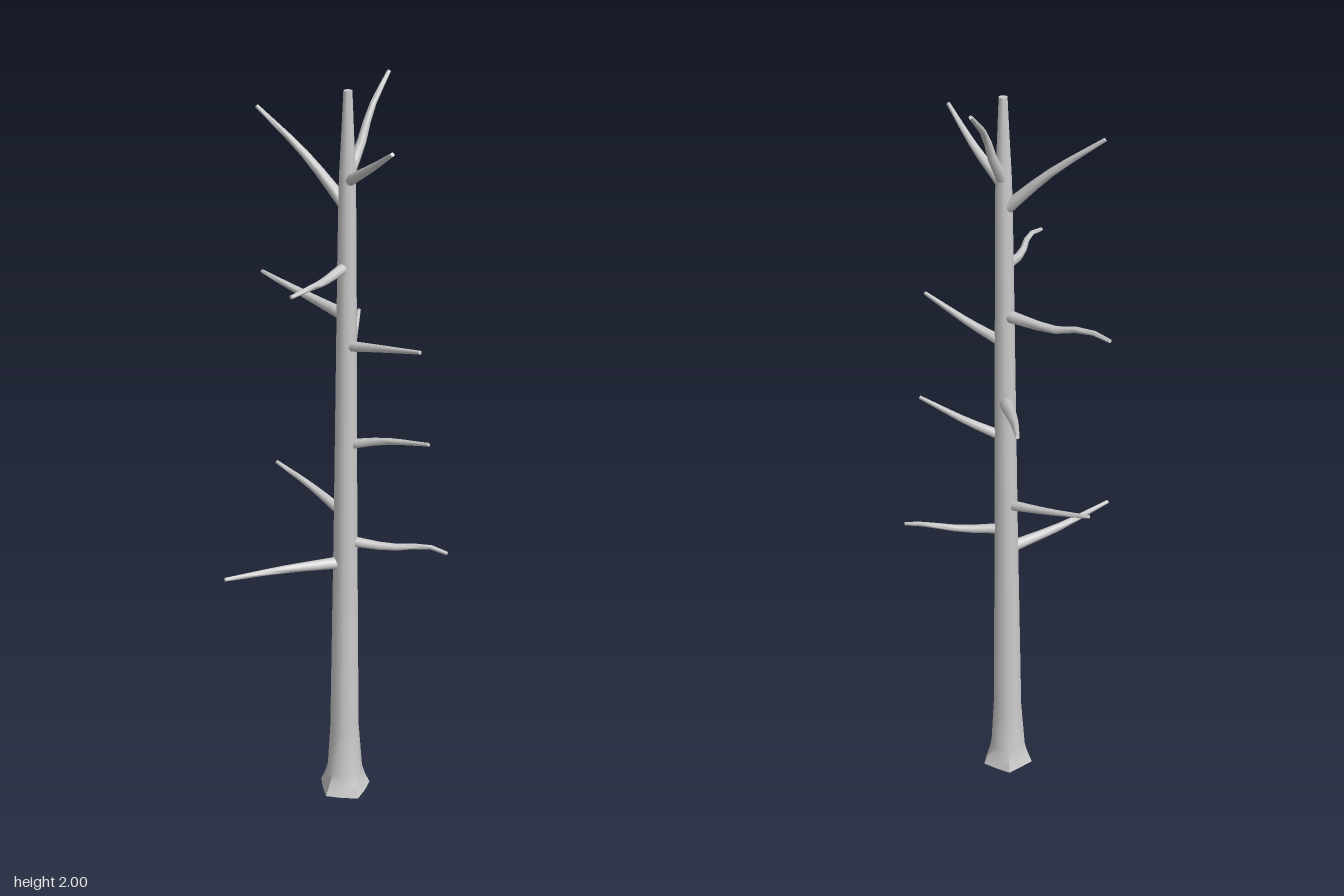
import * as THREE from 'three';
import { toCreasedNormals } from 'three/addons/utils/BufferGeometryUtils.js';

// Skin of rings along a centre line, closed at the far end; radius(i, k) gives ring i at side k
function loft(centres, radius, sides, ref) {
  const pos = [], idx = [], n = centres.length;
  const d = new THREE.Vector3(), u = new THREE.Vector3(), v = new THREE.Vector3();
  centres.forEach((c, i) => {
    d.subVectors(centres[Math.min(i + 1, n - 1)], centres[Math.max(i - 1, 0)]).normalize();
    u.crossVectors(ref, d).normalize();
    v.crossVectors(d, u);
    for (let k = 0; k < sides; k++) {
      const a = (k / sides) * Math.PI * 2, r = radius(i, k), next = (k + 1) % sides;
      c.clone().addScaledVector(u, r * Math.cos(a)).addScaledVector(v, r * Math.sin(a)).toArray(pos, pos.length);
      const a0 = i * sides + k, b0 = i * sides + next;
      if (i < n - 1) idx.push(a0, b0, b0 + sides, a0, b0 + sides, a0 + sides);
      else idx.push(a0, b0, n * sides);
    }
  });
  centres[n - 1].toArray(pos, pos.length);
  const g = new THREE.BufferGeometry();
  g.setAttribute('position', new THREE.Float32BufferAttribute(pos, 3));
  g.setIndex(idx);
  return toCreasedNormals(g, 0.9);
}

export function createModel() {
  const group = new THREE.Group();
  group.name = 'bareTree';
  const bark = new THREE.MeshStandardMaterial({ color: 0xcccccc, side: THREE.DoubleSide });
  const add = (name, geo) => {
    const mesh = new THREE.Mesh(geo, bark);
    mesh.name = name;
    group.add(mesh);
  };
  const core = (y) => new THREE.Vector3(0.044, y, 0.066);

  // Trunk: [height, radius], with five uneven root lobes fading out above the foot
  const trunk = [[0, 0.067], [0.03, 0.056], [0.06, 0.049], [0.2, 0.04], [0.8, 0.032],
    [1.6, 0.024], [1.78, 0.021], [1.88, 0.016], [1.99, 0.011]];
  const lobe = (y, k) => {
    const a = (k / 10) * Math.PI * 2;
    return 1 + Math.max(0, 1 - y / 0.1) * (0.09 * Math.cos(5 * a) - 0.06 * Math.sin(a));
  };
  add('trunk', loft(trunk.map(([y]) => core(y)), (i, k) => trunk[i][1] * lobe(trunk[i][0], k),
    10, new THREE.Vector3(0, 0, -1)));

  // Branches: height on the trunk, then the bends and the tip
  const branches = [
    [0.715, [-0.13, 0.728, 0.098], [-0.29, 0.742, 0.145]],
    [0.78, [0.153, 0.775, 0.117], [0.245, 0.787, 0.157], [0.288, 0.78, 0.19]],
    [0.855, [-0.03, 0.888, -0.065], [-0.097, 0.913, -0.162]],
    [1.06, [0.127, 1.092, 0.132], [0.217, 1.126, 0.242]],
    [1.165, [0.085, 1.203, -0.09], [0.157, 1.277, -0.302]],
    [1.335, [0.102, 1.36, 0.155], [0.177, 1.4, 0.292]],
    [1.415, [-0.034, 1.424, -0.078], [-0.088, 1.441, -0.14], [-0.12, 1.441, -0.217]],
    [1.55, [-0.028, 1.539, 0.137], [-0.085, 1.553, 0.215], [-0.13, 1.548, 0.246]],
    [1.7, [-0.045, 1.815, -0.018], [-0.147, 1.915, -0.105]],
    [1.765, [0.076, 1.825, 0.165], [0.099, 1.902, 0.3]],
    [1.775, [0.088, 1.857, 0.03], [0.111, 1.92, 0.01], [0.172, 1.998, -0.055]],
  ];
  const up = new THREE.Vector3(0, 1, 0), segments = 6;
  branches.forEach(([y, ...bends], b) => {
    const curve = new THREE.CatmullRomCurve3([core(y), ...bends.map((p) => new THREE.Vector3(...p))]);
    // Longer branches start thicker
    const base = 0.006 + 0.035 * curve.getLength();
    add('branch' + (b + 1), loft(curve.getSpacedPoints(segments),
      (i) => THREE.MathUtils.lerp(base, 0.005, (i / segments) ** 0.8), 8, up));
  });
  return group;
}
